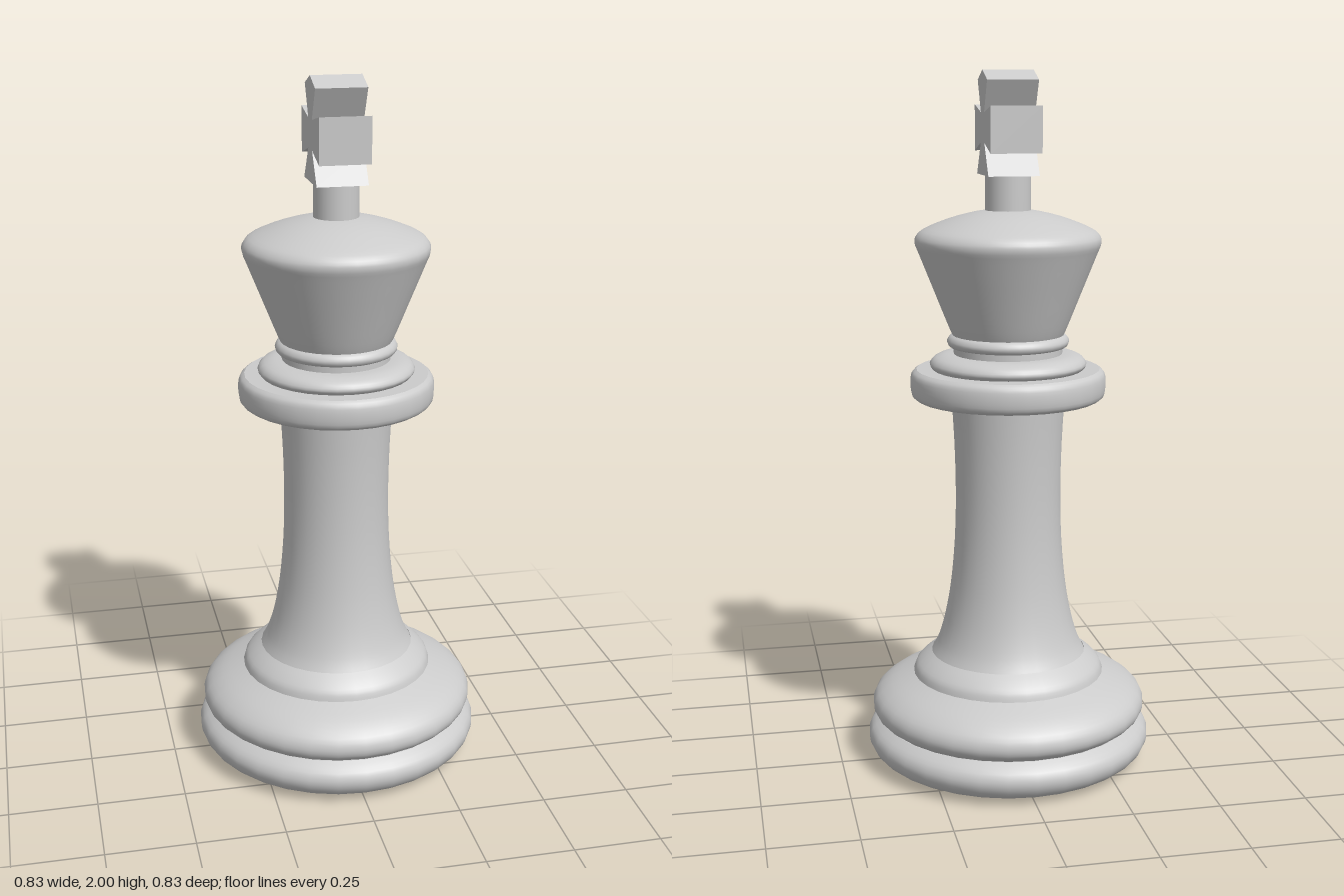
import * as THREE from 'three';

const SIDES = 32;
const material = new THREE.MeshStandardMaterial({ color: 0xcccccc, side: THREE.DoubleSide });

// Turned part: profile of [radius, y] from bottom to top, smoothed by a spline
function turned(name, profile, steps = 3) {
  const pts = profile.map(([r, y]) => new THREE.Vector2(r, y));
  const curve = new THREE.SplineCurve(pts);
  const smooth = steps > 1 ? curve.getPoints((pts.length - 1) * steps) : pts;
  smooth.forEach((p) => { p.x = Math.max(p.x, 0); p.y = Math.max(p.y, 0); });
  const mesh = new THREE.Mesh(new THREE.LatheGeometry(smooth, SIDES), material);
  mesh.name = name;
  return mesh;
}

// Cross with flared arms, cut in the z-y plane and extruded along x
function cross() {
  const half = [
    [0, 2.0], [0.07, 1.973], [0.024, 1.885], [0.118, 1.905],
    [0.118, 1.777], [0.026, 1.803], [0.085, 1.714],
  ];
  const mirrored = half.slice(1).reverse().map(([z, y]) => [-z, y]);
  const shape = new THREE.Shape([...half, ...mirrored].map(([z, y]) => new THREE.Vector2(z, y)));
  const depth = 0.144;
  const geo = new THREE.ExtrudeGeometry(shape, { depth, bevelEnabled: false });
  geo.translate(0, 0, -depth / 2);
  geo.rotateY(Math.PI / 2);
  const mesh = new THREE.Mesh(geo, material);
  mesh.name = 'cross';
  return mesh;
}

export function createModel() {
  const group = new THREE.Group();
  group.name = 'chessKing';

  group.add(
    // Base: underside with a small centre dimple, then two stacked bulges
    turned('baseUnderside', [[0, 0.012], [0.012, 0.012], [0.012, 0.003], [0.3, 0.003]], 1),
    turned('baseLowerBulge', [
      [0.3, 0.003], [0.36, 0.012], [0.4, 0.035], [0.416, 0.07], [0.406, 0.102], [0.375, 0.126],
    ]),
    turned('baseUpperBulge', [
      [0.372, 0.126], [0.395, 0.145], [0.402, 0.172], [0.388, 0.203], [0.345, 0.234], [0.28, 0.262],
    ]),
    turned('baseStep', [[0.28, 0.262], [0.272, 0.285], [0.25, 0.307], [0.226, 0.325]]),

    // Column
    turned('column', [
      [0.226, 0.322], [0.207, 0.36], [0.186, 0.43], [0.168, 0.53], [0.156, 0.66],
      [0.152, 0.8], [0.155, 0.95], [0.163, 1.09],
    ]),

    // Collars
    turned('collarUnderside', [[0.155, 1.083], [0.262, 1.083]], 1),
    turned('collar', [
      [0.262, 1.083], [0.276, 1.095], [0.28, 1.125], [0.276, 1.155], [0.262, 1.168],
    ]),
    turned('collarTop', [[0.262, 1.168], [0.215, 1.168]], 1),
    turned('upperCollar', [
      [0.215, 1.168], [0.224, 1.182], [0.212, 1.2], [0.185, 1.21], [0.155, 1.212],
    ]),
    turned('neckCore', [[0.155, 1.208], [0.155, 1.238]], 1),
    turned('neckRing', [
      [0.155, 1.23], [0.168, 1.234], [0.174, 1.247], [0.168, 1.26], [0.158, 1.267],
    ]),

    // Head
    turned('head', [
      [0.158, 1.264], [0.172, 1.295], [0.21, 1.39], [0.25, 1.49], [0.263, 1.525],
      [0.257, 1.548], [0.23, 1.568], [0.15, 1.598], [0.07, 1.616], [0, 1.621],
    ]),
  );

  // Stem that carries the cross
  const stem = new THREE.Mesh(new THREE.CylinderGeometry(0.064, 0.064, 0.13, SIDES), material);
  stem.position.y = 1.665;
  stem.name = 'stem';
  group.add(stem, cross());

  return group;
}
